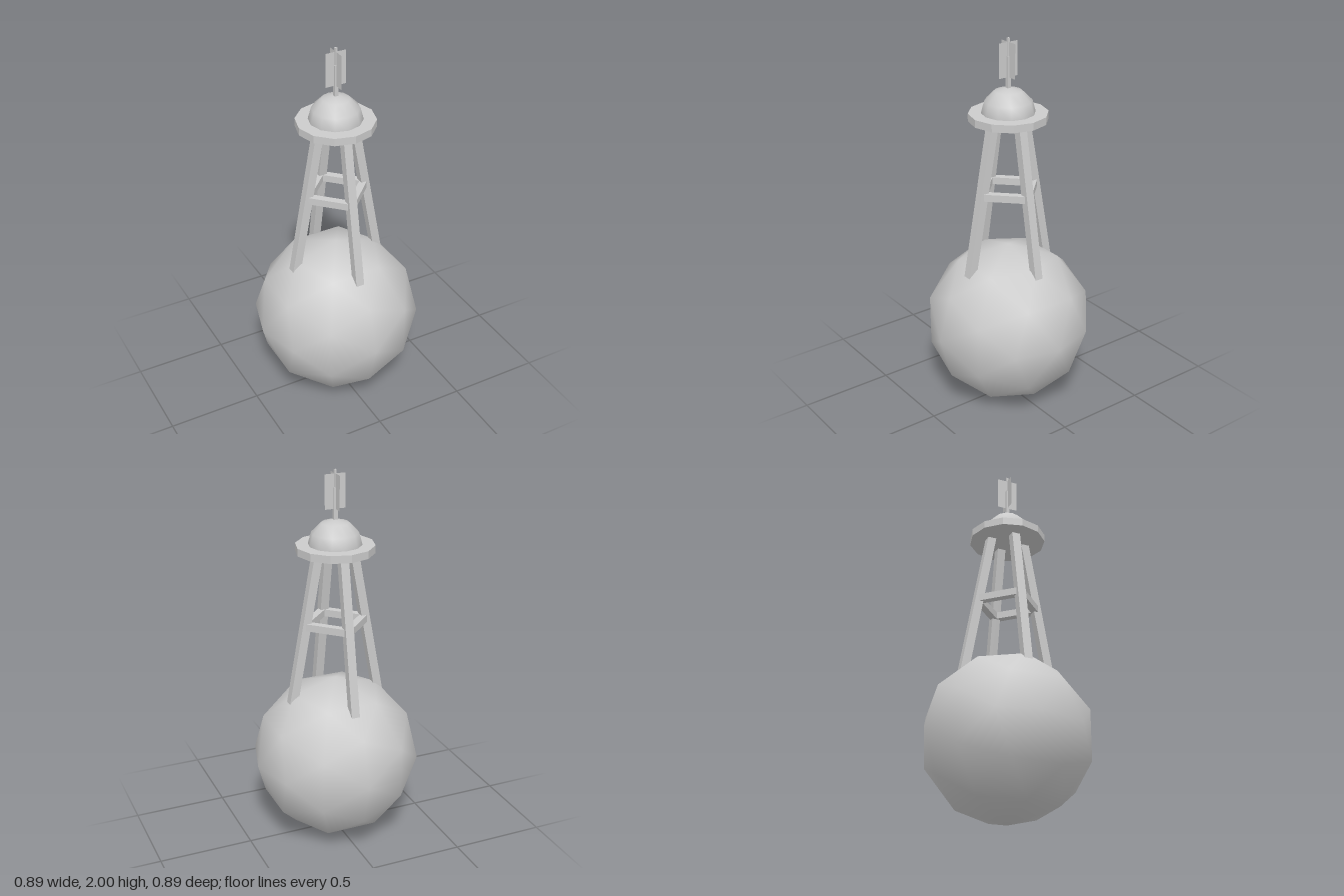
import * as THREE from 'three';

const grey = new THREE.MeshStandardMaterial({ color: 0xcccccc });
const flat = new THREE.MeshStandardMaterial({ color: 0xcccccc, flatShading: true });
const thin = new THREE.MeshStandardMaterial({ color: 0xcccccc, side: THREE.DoubleSide });

export function createModel() {
  const model = new THREE.Group();
  model.name = 'buoy';

  const add = (name, geometry, material, y = 0) => {
    const mesh = new THREE.Mesh(geometry, material);
    mesh.name = name;
    mesh.position.y = y;
    model.add(mesh);
    return mesh;
  };

  // Square beam between two points
  const beam = (name, a, b, size) => {
    const mesh = add(name, new THREE.BoxGeometry(size, size, a.distanceTo(b)), flat);
    mesh.position.copy(a).lerp(b, 0.5);
    mesh.lookAt(b);
  };

  // Faceted round float
  add('float', new THREE.IcosahedronGeometry(0.444, 1), grey, 0.447);

  // Four leaning legs, joined by a ring of braces
  const legRadius = (y) => 0.097 + (1.58 - y) * 0.183;
  const legPoint = (i, y) => {
    const angle = (i * Math.PI) / 2;
    return new THREE.Vector3(Math.sin(angle) * legRadius(y), y, Math.cos(angle) * legRadius(y));
  };
  for (let i = 0; i < 4; i++) {
    beam('leg', legPoint(i, 0.72), legPoint(i, 1.6), 0.045);
    beam('brace', legPoint(i, 1.202), legPoint(i + 1, 1.202), 0.038);
  }

  // Platform and lamp dome
  add('platform', new THREE.CylinderGeometry(0.204, 0.204, 0.04, 12), flat, 1.6);
  add('lampDome', new THREE.SphereGeometry(0.141, 12, 3, 0, Math.PI * 2, 0, Math.PI / 2), grey, 1.61);

  // Stepped mast
  add('mast', new THREE.BoxGeometry(0.02, 0.18, 0.02), flat, 1.82);
  add('mastTip', new THREE.BoxGeometry(0.011, 0.1, 0.011), flat, 1.95);

  // Crossed reflector plates
  for (let i = 0; i < 2; i++) {
    add('reflectorPlate', new THREE.PlaneGeometry(0.112, 0.178), thin, 1.89).rotation.y = (i * Math.PI) / 2;
  }

  return model;
}
